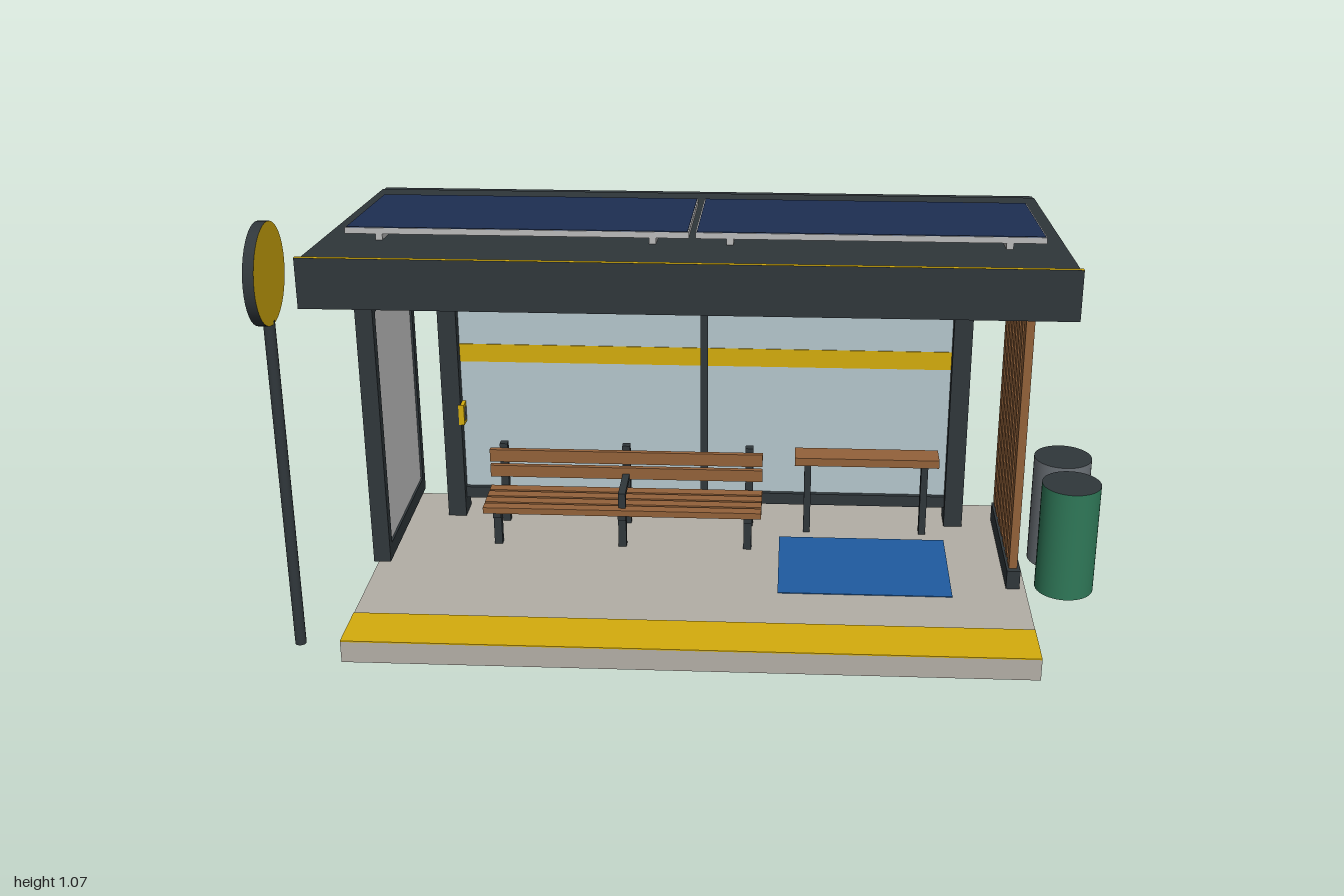
import * as THREE from 'three';

const paint = (color) => new THREE.MeshStandardMaterial({ color });
const dark = paint(0x30373b), yellow = paint(0xd4ac0d), wood = paint(0x93623a);
const concrete = paint(0xb3afa6), metal = paint(0xb4b4b4), glass = paint(0xb4c6cc);
const navy = paint(0x1e3054), blue = paint(0x1f5ba0), paper = paint(0xd3d3cf);
const green = paint(0x2f7858), grey = paint(0x6c7278);

// Box from its extents; a material list is ordered +x, -x, +y, -y, +z, -z
function box(parent, name, [x0, x1], [y0, y1], [z0, z1], material) {
  const mesh = new THREE.Mesh(new THREE.BoxGeometry(x1 - x0, y1 - y0, z1 - z0), material);
  mesh.position.set((x0 + x1) / 2, (y0 + y1) / 2, (z0 + z1) / 2);
  mesh.name = name;
  parent.add(mesh);
  return mesh;
}

// Upright cylinder; a material list is ordered side, top, bottom
function cylinder(parent, name, radius, height, [x, y, z], material) {
  const mesh = new THREE.Mesh(new THREE.CylinderGeometry(radius, radius, height, 40), material);
  mesh.position.set(x, y, z);
  mesh.name = name;
  parent.add(mesh);
  return mesh;
}

function section(parent, name) {
  const group = new THREE.Group();
  group.name = name;
  parent.add(group);
  return group;
}

const span = (centre, width) => [centre - width / 2, centre + width / 2];
const postX = [-0.709, 0.651];

function addGround(model) {
  const ground = section(model, 'ground');
  box(ground, 'platform', [-0.865, 0.808], [0, 0.055], [-0.427, 0.413], concrete);
  box(ground, 'kerbStrip', [-0.865, 0.808], [0.055, 0.058], [0.273, 0.413], yellow);
  box(ground, 'wheelchairBay', [0.18, 0.62], [0.055, 0.057], [-0.2, 0.115], blue);
}

function addRoof(model) {
  const roof = section(model, 'roof');
  // Sloped parts, measured from the middle of the roof's upper face
  const slope = section(roof, 'slopedRoof');
  slope.position.set(0, 0.983, 0.013);
  slope.rotation.x = -0.0805;
  box(slope, 'roofSlab', [-0.882, 0.824], [-0.034, 0], [-0.422, 0.422],
    [metal, metal, dark, metal, metal, metal]);
  for (const x of postX) box(slope, 'rafter', span(x, 0.046), [-0.106, -0.034], [-0.421, 0.4], dark);
  box(slope, 'lightStrip', [-0.66, 0.6], [-0.044, -0.034], [-0.23, -0.205], paper);

  // Solar panels on their rails
  for (const [x0, x1] of [[-0.828, -0.035], [-0.02, 0.776]]) {
    box(slope, 'panelFrame', [x0, x1], [0.014, 0.028], [-0.202, 0.196], metal);
    box(slope, 'solarCells', [x0 + 0.003, x1 - 0.003], [0.028, 0.0295], [-0.199, 0.193], navy);
    for (const x of [x0 + 0.079, x1 - 0.083]) {
      box(slope, 'panelRail', span(x, 0.016), [0, 0.014], [-0.212, 0.196], metal);
    }
  }

  // Upright edges
  box(roof, 'fascia', [-0.882, 0.824], [0.911, 1.028], [0.434, 0.445],
    [yellow, yellow, yellow, yellow, dark, yellow]);
  box(roof, 'gutter', [-0.882, 0.824], [0.895, 0.943], [-0.445, -0.408], dark);
}

function addBackWall(model) {
  const wall = section(model, 'backWall');
  for (const x of postX) {
    box(wall, 'post', span(x, 0.049), [0.055, 0.9], [-0.363, -0.289], dark);
    box(wall, 'postBracket', span(x, 0.052), [0.855, 0.92], [-0.338, -0.287], dark);
  }
  const inside = [-0.685, 0.627];
  box(wall, 'glassPane', inside, [0.13, 0.81], span(-0.326, 0.01), glass);
  box(wall, 'glassBand', inside, [0.5, 0.55], span(-0.326, 0.014), yellow);
  box(wall, 'topRail', inside, [0.807, 0.834], span(-0.326, 0.036), dark);
  box(wall, 'bottomRail', inside, [0.102, 0.134], span(-0.326, 0.036), dark);
  box(wall, 'mullion', span(-0.028, 0.02), [0.13, 0.81], span(-0.326, 0.03), dark);
  // Call box on the inner face of the left-hand post
  box(wall, 'callBox', [-0.69, -0.675], [0.328, 0.385], [-0.345, -0.285], yellow);
  box(wall, 'callBoxFace', [-0.676, -0.673], [0.338, 0.375], [-0.31, -0.293], grey);
}

function addSideScreens(model) {
  // Timber slat screen
  const screen = section(model, 'slatScreen');
  box(screen, 'screenTopRail', [0.759, 0.793], [0.827, 0.853], [-0.34, 0.062], dark);
  box(screen, 'screenBottomRail', [0.759, 0.793], [0.055, 0.105], [-0.34, 0.062], dark);
  for (let i = 0; i < 7; i++) {
    box(screen, 'screenSlat', [0.765, 0.786], [0.105, 0.827], span(0.026 - i * 0.0594, 0.039), wood);
  }

  // Framed poster case
  const poster = section(model, 'posterCase');
  const frameX = [-0.852, -0.809];
  for (const y of [[0.105, 0.147], [0.77, 0.812]]) box(poster, 'posterRail', frameX, y, [-0.355, 0.09], dark);
  for (const z of [[-0.355, -0.327], [0.062, 0.09]]) box(poster, 'posterStile', frameX, [0.147, 0.77], z, dark);
  box(poster, 'posterSheet', span(-0.8305, 0.032), [0.147, 0.77], [-0.327, 0.062], paper);
}

function addSeating(model) {
  const bench = section(model, 'bench');
  const length = [-0.604, 0.132];
  for (let i = 0; i < 4; i++) {
    box(bench, 'seatSlat', length, [0.15, 0.167], span(-0.125 - i * 0.038, 0.03), wood);
  }
  for (const y of [[0.194, 0.227], [0.238, 0.273]]) box(bench, 'backSlat', length, y, [-0.264, -0.25], wood);
  for (const x of [-0.568, -0.236, 0.096]) {
    box(bench, 'backSupport', span(x, 0.021), [0.055, 0.285], [-0.285, -0.264], dark);
    box(bench, 'frontLeg', span(x, 0.021), [0.055, 0.15], [-0.145, -0.124], dark);
    box(bench, 'seatBearer', span(x, 0.021), [0.135, 0.15], [-0.264, -0.115], dark);
  }
  box(bench, 'seatDivider', span(-0.236, 0.019), [0.195, 0.209], [-0.264, -0.125], dark);
  box(bench, 'dividerUpright', span(-0.236, 0.019), [0.167, 0.195], [-0.144, -0.125], dark);

  const perch = section(model, 'leaningPerch');
  box(perch, 'perchTop', [0.218, 0.6], [0.26, 0.282], [-0.285, -0.215], wood);
  for (const x of [0.253, 0.564]) box(perch, 'perchLeg', span(x, 0.018), [0.055, 0.26], span(-0.25, 0.03), dark);
}

function addStopSign(model) {
  const sign = section(model, 'stopSign');
  cylinder(sign, 'signPole', 0.0135, 0.84, [-0.987, 0.42, 0.327], dark);
  const disc = cylinder(sign, 'signDisc', 0.119, 0.025, [-0.9875, 0.952, 0.327], [dark, yellow, yellow]);
  disc.rotation.z = Math.PI / 2;
}

function addBins(model) {
  const bins = section(model, 'bins');
  cylinder(bins, 'greenBin', 0.075, 0.297, [0.924, 0.1485, -0.06], [green, dark, dark]);
  cylinder(bins, 'greyBin', 0.075, 0.297, [0.924, 0.1485, -0.226], [grey, dark, dark]);
}

export function createModel() {
  const model = new THREE.Group();
  model.name = 'busShelter';
  addGround(model);
  addRoof(model);
  addBackWall(model);
  addSideScreens(model);
  addSeating(model);
  addStopSign(model);
  addBins(model);
  return model;
}
